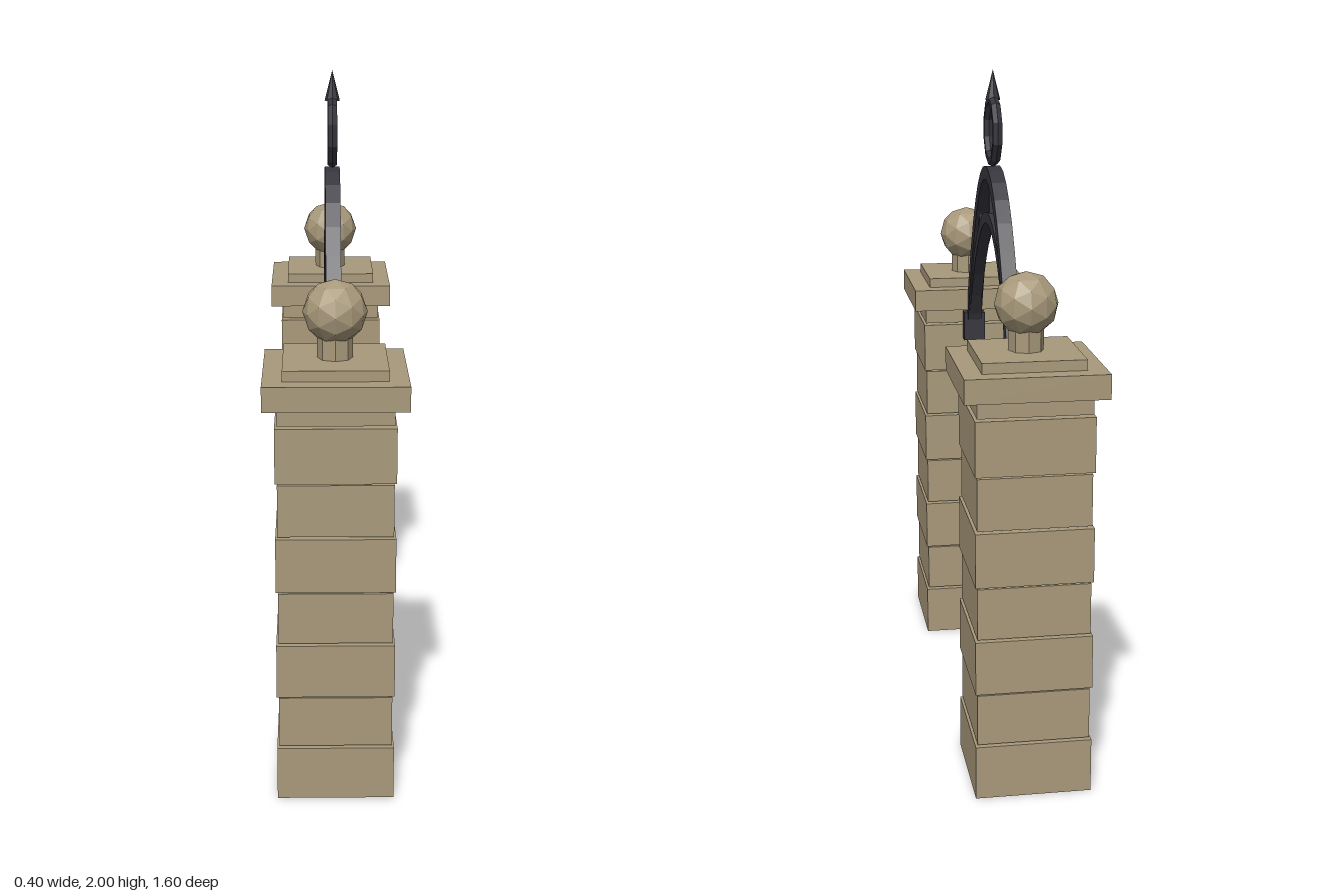
import * as THREE from 'three';

const stone = new THREE.MeshStandardMaterial({ color: 0xa8997b, flatShading: true });
stone.name = 'sandstone';
const iron = new THREE.MeshStandardMaterial({ color: 0x35353d, flatShading: true });
iron.name = 'dark iron';

function add(parent, name, geometry, material, x = 0, y = 0, z = 0) {
  const mesh = new THREE.Mesh(geometry, material);
  mesh.name = name;
  mesh.position.set(x, y, z);
  parent.add(mesh);
  return mesh;
}

// Box given by its width in x and its extents in y and z
function block(parent, name, material, w, y0, y1, z0, z1) {
  return add(parent, name, new THREE.BoxGeometry(w, y1 - y0, z1 - z0), material, 0, (y0 + y1) / 2, (z0 + z1) / 2);
}

// Flat bar following points [z, y], mitred at the bends
function ribbon(parent, name, points, thick, w) {
  const pts = points.map(([z, y]) => new THREE.Vector2(z, y));
  const side = (s) => pts.map((p, i) => {
    const a = p.clone().sub(pts[Math.max(i - 1, 0)]).normalize();
    const b = pts[Math.min(i + 1, pts.length - 1)].clone().sub(p).normalize();
    const t = a.clone().add(b).normalize();
    const known = i === 0 ? b : a;
    const k = (s * thick) / 2 / t.dot(known);
    return new THREE.Vector2(p.x - t.y * k, p.y + t.x * k);
  });
  const shape = new THREE.Shape([...side(-1), ...side(1).reverse()]);
  const g = new THREE.ExtrudeGeometry(shape, { depth: w, bevelEnabled: false });
  g.translate(0, 0, -w / 2).rotateY(-Math.PI / 2);
  return add(parent, name, g, iron);
}

function createPillar(zc) {
  const g = new THREE.Group();
  g.name = 'pillar';
  g.position.z = zc;
  // Stone courses, alternately wide and narrow, with open joints
  const joints = [0, 0.162, 0.318, 0.482, 0.638, 0.802, 0.958, 1.122, 1.178];
  for (let i = 0; i < 8; i++) {
    const h = i % 2 ? 0.161 : 0.167;
    block(g, 'course', stone, h * 2, joints[i] + (i ? 0.003 : 0), joints[i + 1] - 0.003, -h, h);
  }
  block(g, 'capSlab', stone, 0.4, 1.175, 1.245, -0.197, 0.197);
  block(g, 'capStep', stone, 0.29, 1.245, 1.275, -0.144, 0.144);
  add(g, 'ballNeck', new THREE.CylinderGeometry(0.05, 0.05, 0.07, 8), stone, 0, 1.305, 0);
  add(g, 'ball', new THREE.IcosahedronGeometry(0.09, 1), stone, 0, 1.405, 0);
  return g;
}

function createGate() {
  const g = new THREE.Group();
  g.name = 'gate';
  // Frame
  for (const s of [-1, 1]) {
    block(g, 'gatePost', iron, 0.045, 0.065, 0.94, s * 0.398 - 0.023, s * 0.398 + 0.023);
    for (const y of [0.225, 0.76]) block(g, 'hinge', iron, 0.03, y - 0.02, y + 0.02, s * 0.433 - 0.015, s * 0.433 + 0.015);
  }
  for (const [y0, y1] of [[0.07, 0.11], [0.297, 0.34], [0.89, 0.932]]) {
    block(g, 'rail', iron, 0.04, y0, y1, -0.376, 0.376);
  }
  block(g, 'kickPanel', iron, 0.02, 0.11, 0.297, -0.376, 0.376);
  block(g, 'latch', iron, 0.055, 0.69, 0.757, 0.342, 0.378);
  // Pickets with spear points
  for (const z of [-0.21, 0, 0.21]) {
    block(g, 'picket', iron, 0.03, 0.34, 1.01, z - 0.015, z + 0.015);
    add(g, 'spearPoint', new THREE.ConeGeometry(0.027, 0.09, 8), iron, 0, 1.047, z);
  }
  // Zigzag tie bar
  const zigzag = [];
  for (let i = -4; i <= 4; i++) {
    zigzag.push(Math.abs(i) === 4 ? [i * 0.097, 0.63] : [i * 0.105, i % 2 ? 0.545 : 0.655]);
  }
  ribbon(g, 'zigzagBar', zigzag, 0.024, 0.022);
  return g;
}

function createArch() {
  const g = new THREE.Group();
  g.name = 'arch';
  const curve = (peak, n) => Array.from({ length: n + 1 }, (_, i) => {
    const t = (i / n) * 2 - 1;
    return [0.42 * t, peak - (peak - 1.15) * t * t];
  });
  ribbon(g, 'outerArch', curve(1.69, 16), 0.04, 0.045);
  ribbon(g, 'innerArch', curve(1.55, 16), 0.034, 0.036);
  // Struts between the two curves
  block(g, 'centreStrut', iron, 0.026, 1.55, 1.69, -0.013, 0.013);
  for (const s of [-1, 1]) {
    block(g, 'sideStrut', iron, 0.024, 1.45, 1.56, s * 0.215 - 0.012, s * 0.215 + 0.012);
    block(g, 'archBracket', iron, 0.07, 1.07, 1.165, s * 0.425 - 0.019, s * 0.425 + 0.019);
  }
  // Ring and finial
  const ring = new THREE.TorusGeometry(0.094, 0.016, 6, 10);
  ring.rotateZ(Math.PI / 2).rotateY(Math.PI / 2);
  add(g, 'ring', ring, iron, 0, 1.817, 0);
  add(g, 'finial', new THREE.ConeGeometry(0.023, 0.09, 8), iron, 0, 1.955, 0);
  return g;
}

export function createModel() {
  const model = new THREE.Group();
  model.name = 'gardenGate';
  model.add(createPillar(0.605), createPillar(-0.605), createGate(), createArch());
  return model;
}
